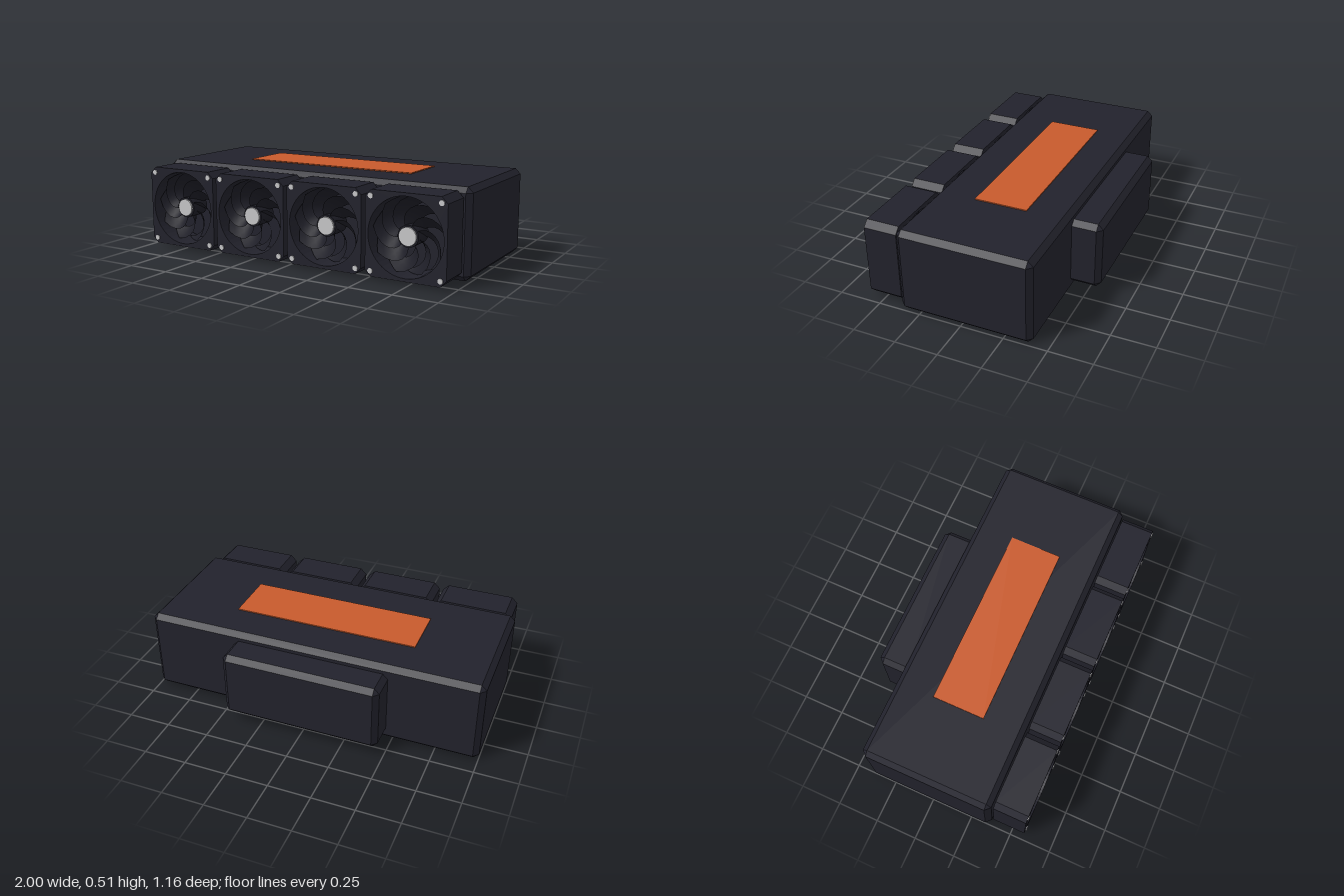
import * as THREE from 'three';
import { ConvexGeometry } from 'three/addons/geometries/ConvexGeometry.js';

const mat = (name, color, extra = {}) => {
  const m = new THREE.MeshStandardMaterial({ color, ...extra });
  m.name = name;
  return m;
};

// Box given by its limits, with all edges chamfered by c
function chamferedBox(x, y0, y1, z0, z1, c) {
  const h = [x, (y1 - y0) / 2, (z1 - z0) / 2];
  const mid = new THREE.Vector3(0, (y0 + y1) / 2, (z0 + z1) / 2);
  const points = [];
  for (const sx of [-1, 1]) for (const sy of [-1, 1]) for (const sz of [-1, 1])
    for (let full = 0; full < 3; full++) {
      const [a, b, d] = h.map((v, i) => (i === full ? v : v - c));
      points.push(new THREE.Vector3(sx * a, sy * b, sz * d).add(mid));
    }
  return new ConvexGeometry(points);
}

// Square frame with cut corners and a round opening
function frameGeometry(half, cut, radius, depth) {
  const k = half - cut;
  const shape = new THREE.Shape([
    [-k, -half], [k, -half], [half, -k], [half, k],
    [k, half], [-k, half], [-half, k], [-half, -k],
  ].map(([x, y]) => new THREE.Vector2(x, y)));
  shape.holes.push(new THREE.Path().absarc(0, 0, radius, 0, Math.PI * 2, true));
  return new THREE.ExtrudeGeometry(shape, { depth, bevelEnabled: false, curveSegments: 24 });
}

// Swept, pitched blade running from the hub to the rim
function bladeGeometry(r0, r1) {
  const g = new THREE.PlaneGeometry(1, 1, 4, 8);
  const p = g.attributes.position;
  for (let i = 0; i < p.count; i++) {
    const u = p.getX(i) + 0.5, v = p.getY(i) + 0.5;
    const r = r0 + (r1 - r0) * v;
    const a = -1.0 * v * v + (u - 0.5) * (0.75 - 0.1 * v);
    p.setXYZ(i, -r * Math.sin(a), r * Math.cos(a), (u - 0.5) * 0.09);
  }
  g.computeVertexNormals();
  return g;
}

export function createModel() {
  const model = new THREE.Group();
  model.name = 'fanUnit';
  const dark = mat('darkCasing', 0x22222c);
  const blade = mat('bladeBlack', 0x1d1d26, { side: THREE.DoubleSide });
  const orange = mat('orangePanel', 0xc85a2c);
  const silver = mat('silver', 0xc8c8ca);

  const add = (parent, name, geometry, material, x = 0, y = 0, z = 0) => {
    const mesh = new THREE.Mesh(geometry, material);
    mesh.name = name;
    mesh.position.set(x, y, z);
    parent.add(mesh);
    return mesh;
  };

  // Casing, rear module and top panel
  add(model, 'mainBody', chamferedBox(1, 0, 0.5, -0.41, 0.37, 0.03), dark);
  add(model, 'rearModule', chamferedBox(0.465, 0.05, 0.45, -0.58, -0.36, 0.03), dark);
  add(model, 'topPanel', new THREE.BoxGeometry(1.09, 0.006, 0.31), orange, 0, 0.505, -0.025);

  // Shared fan parts
  const disc = (r, depth, sides) => new THREE.CylinderGeometry(r, r, depth, sides).rotateX(Math.PI / 2);
  const frame = frameGeometry(0.2325, 0.035, 0.215, 0.195);
  const hub = disc(0.06, 0.12, 24);
  const cap = disc(0.05, 0.02, 24);
  const screw = disc(0.015, 0.02, 12);
  const vane = bladeGeometry(0.05, 0.208);
  const bladeCount = 9;

  // Row of four fans
  for (let n = 0; n < 4; n++) {
    const fan = new THREE.Group();
    fan.name = `fan${n + 1}`;
    fan.position.set((n - 1.5) * 0.489 - 0.002, 0.252, 0.38);
    add(fan, 'fanFrame', frame, dark);
    add(fan, 'fanHub', hub, blade, 0, 0, 0.1);
    add(fan, 'hubCap', cap, silver, 0, 0, 0.16);
    for (let i = 0; i < bladeCount; i++)
      add(fan, 'fanBlade', vane, blade, 0, 0, 0.11).rotation.z = (i / bladeCount) * Math.PI * 2;
    for (const sx of [-1, 1]) for (const sy of [-1, 1])
      add(fan, 'cornerScrew', screw, silver, sx * 0.2, sy * 0.2, 0.19);
    model.add(fan);
  }
  return model;
}
